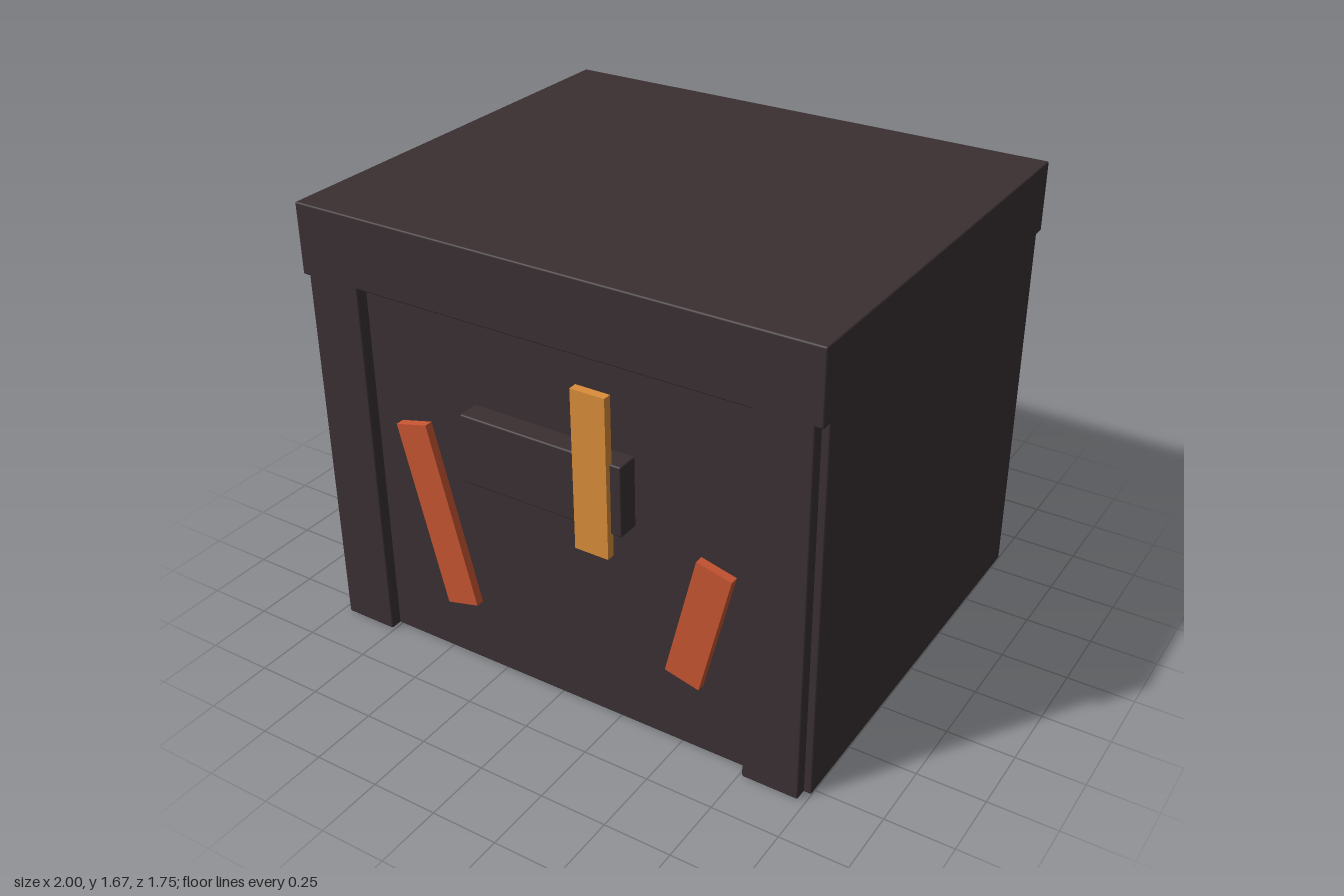
import * as THREE from 'three';
import { RoundedBoxGeometry } from 'three/addons/geometries/RoundedBoxGeometry.js';

export function createModel() {
  const model = new THREE.Group();
  model.name = 'crate';

  const mat = (name, color) => {
    const m = new THREE.MeshStandardMaterial({ color });
    m.name = name;
    return m;
  };
  const dark = mat('charcoal', 0x3a3032);
  const amber = mat('amber', 0xd98d3a);
  const rust = mat('rust', 0xc85532);

  const add = (name, geometry, material, x, y, z, tilt = 0) => {
    const mesh = new THREE.Mesh(geometry, material);
    mesh.name = name;
    mesh.position.set(x, y, z);
    mesh.rotation.z = tilt;
    model.add(mesh);
  };
  // box with slightly softened edges, given by its limits
  const block = (name, x0, x1, y0, y1, z0, z1) => add(name,
    new RoundedBoxGeometry(x1 - x0, y1 - y0, z1 - z0, 1, 0.006), dark,
    (x0 + x1) / 2, (y0 + y1) / 2, (z0 + z1) / 2);

  const front = 0.821, back = -0.877, recess = 0.045;

  // core with flush sides and recessed front and back panels
  block('body', -0.9995, 0.9995, 0, 1.6, back + recess, front - recess);
  // overhanging lid
  block('lid', -1, 1, 1.41, 1.675, back, front);

  // corner posts run up into the lid
  for (const side of [-1, 1]) {
    const x0 = side < 0 ? -0.972 : 0.76;
    const x1 = side < 0 ? -0.76 : 0.972;
    block('frontPost', x0, x1, 0, 1.6, front - 0.1, front - 0.0005);
    block('backPost', x0, x1, 0, 1.6, back + 0.0005, back + 0.1);
  }

  // plate on the front panel
  block('frontPlate', -0.32, 0.32, 0.817, 1.08, front - 0.1, 0.856);

  // coloured bars: [name, material, x, y, width, length, tilt]
  const tilt = THREE.MathUtils.degToRad(14);
  const bars = [
    ['leftTiltedBar', rust, 0.618, 0.595, 0.133, 0.484, -tilt],
    ['uprightBar', amber, 0.215, 1.028, 0.13, 0.595, 0],
    ['rightTiltedBar', rust, -0.435, 0.65, 0.133, 0.7, tilt],
  ];
  for (const [name, material, x, y, w, h, angle] of bars) {
    add(name, new THREE.BoxGeometry(w, h, 0.032), material, x, y, 0.861, angle);
  }
  return model;
}
